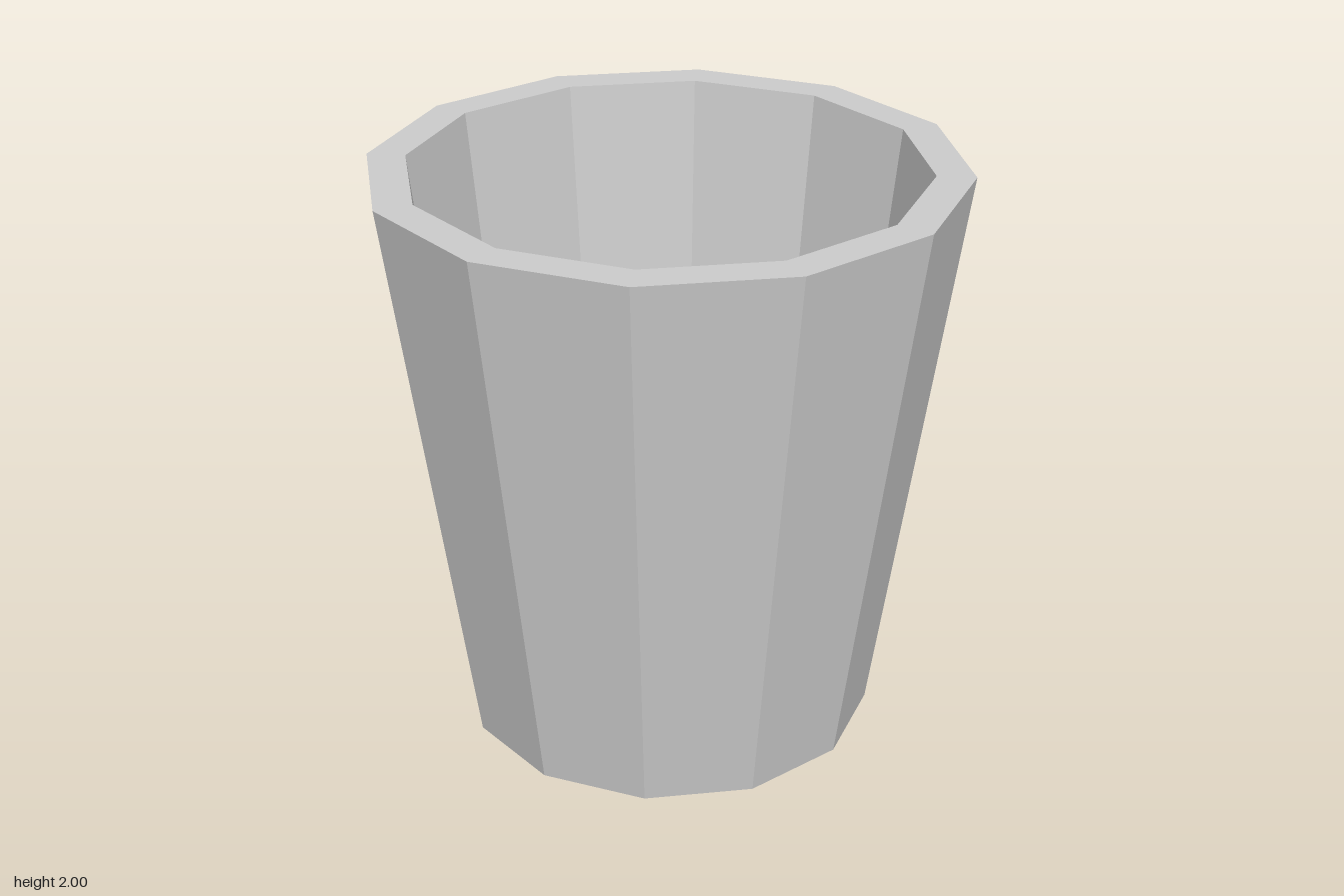
import * as THREE from 'three';

const SIDES = 12;

export function createModel() {
  const group = new THREE.Group();
  group.name = 'cup';

  // One closed profile: underside, outer wall, rim, inner wall, inner floor
  const profile = [
    [0, 0],
    [0.715, 0],
    [1, 2],
    [0.87, 2],
    [0.655, 0.13],
    [0, 0.13],
  ].map(([r, y]) => new THREE.Vector2(r, y));

  // Faceted sides with hard edges
  const geometry = new THREE.LatheGeometry(profile, SIDES).toNonIndexed();
  geometry.computeVertexNormals();

  const body = new THREE.Mesh(
    geometry,
    new THREE.MeshStandardMaterial({ color: 0xcccccc, flatShading: true })
  );
  body.name = 'cupBody';
  group.add(body);

  return group;
}
